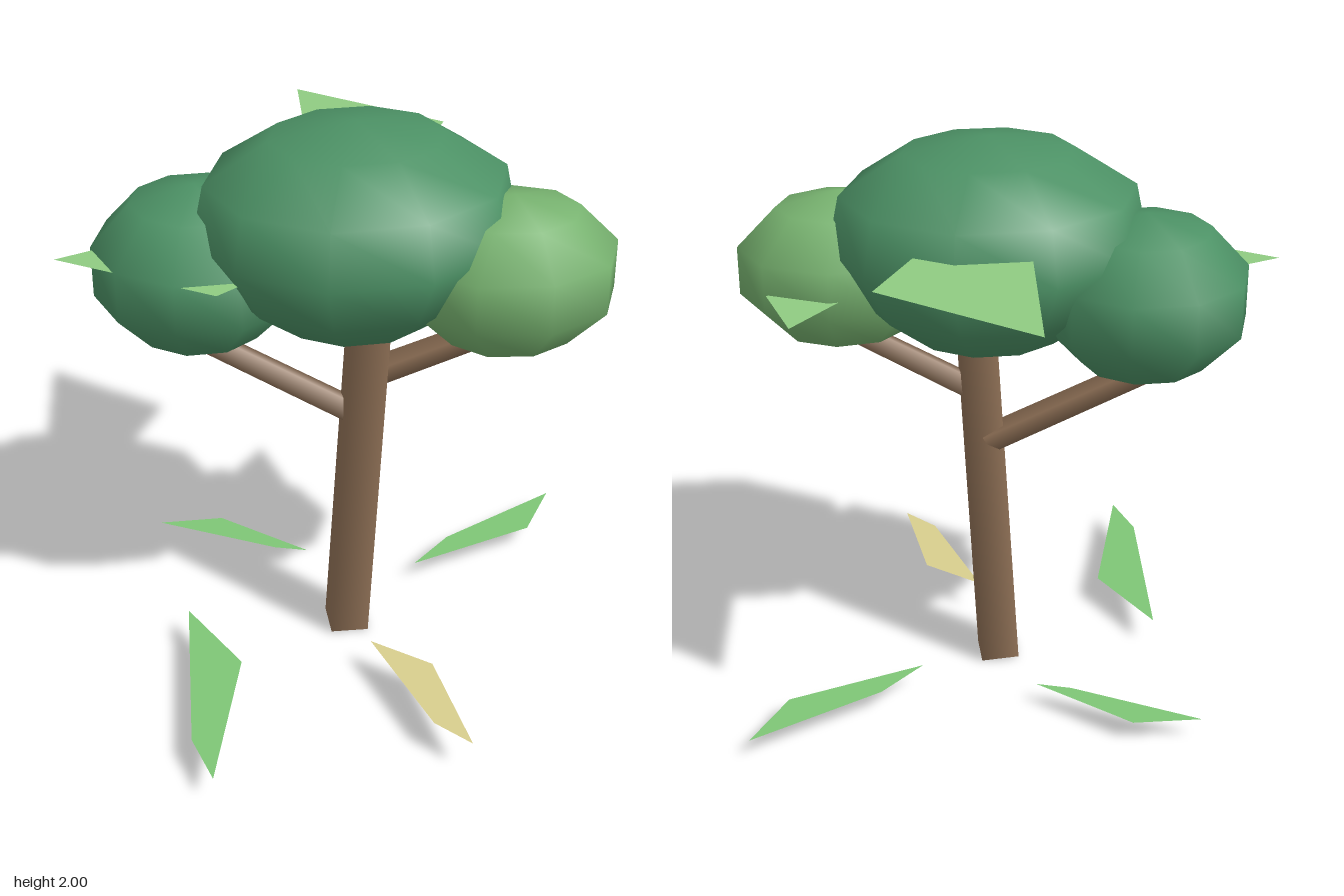
import * as THREE from 'three';

const mat = (color, side = THREE.FrontSide) => new THREE.MeshStandardMaterial({ color, side, roughness: 0.9 });
const bark = mat(0x8c6e54);
const darkGreen = mat(0x4c9165);
const lightGreen = mat(0x77b26f);
const leafGreen = mat(0x7ec676, THREE.DoubleSide);
const leafLight = mat(0x8fcb82, THREE.DoubleSide);
const leafTan = mat(0xd8ce8d, THREE.DoubleSide);

// Square, slightly tapered limb between two points, r measured to the flat side
function limb(name, from, to, r0, r1) {
  const a = new THREE.Vector3(...from), b = new THREE.Vector3(...to);
  const dir = b.clone().sub(a);
  const g = new THREE.CylinderGeometry(r1 * Math.SQRT2, r0 * Math.SQRT2, dir.length(), 4).rotateY(Math.PI / 4);
  const mesh = new THREE.Mesh(g, bark);
  mesh.position.copy(a).add(b).multiplyScalar(0.5);
  mesh.quaternion.setFromUnitVectors(new THREE.Vector3(0, 1, 0), dir.normalize());
  mesh.name = name;
  return mesh;
}

// Low-poly smooth ellipsoid; the lower half may shrink
function foliage(name, material, center, radii, segs, rings, shrink = 0) {
  const g = new THREE.SphereGeometry(1, segs, rings).rotateY(Math.PI);
  const p = g.attributes.position, n = g.attributes.normal, v = new THREE.Vector3();
  for (let i = 0; i < p.count; i++) {
    const y = p.getY(i);
    const k = 1 - shrink * THREE.MathUtils.clamp(0.5 - y, 0, 1);
    p.setXYZ(i, p.getX(i) * k * radii[0], y * radii[1], p.getZ(i) * k * radii[2]);
    // Ellipsoid normal, kept smooth across the seam
    v.set(p.getX(i) / radii[0] ** 2, p.getY(i) / radii[1] ** 2, p.getZ(i) / radii[2] ** 2).normalize();
    n.setXYZ(i, v.x, v.y, v.z);
  }
  const mesh = new THREE.Mesh(g, material);
  mesh.position.set(...center);
  mesh.name = name;
  return mesh;
}

// Flat horizontal leaf from [x, z] corners
function leaf(name, material, y, corners) {
  const shape = new THREE.Shape(corners.map(([x, z]) => new THREE.Vector2(x, -z)));
  const mesh = new THREE.Mesh(new THREE.ShapeGeometry(shape).rotateX(-Math.PI / 2), material);
  mesh.position.y = y;
  mesh.name = name;
  return mesh;
}

export function createModel() {
  const tree = new THREE.Group();
  tree.name = 'tree';

  // Trunk and branches
  tree.add(
    limb('trunk', [0.013, 0.005, 0.058], [0.086, 1.34, 0.083], 0.068, 0.064),
    limb('rightBranch', [0.05, 0.9, 0.045], [-0.62, 1.27, -0.1], 0.036, 0.033),
    limb('leftBranch', [0.08, 1.075, 0.085], [0.52, 1.29, 0.2], 0.036, 0.033),
  );

  // Canopy
  tree.add(
    foliage('mainCanopy', darkGreen, [0.04, 1.625, 0.07], [0.575, 0.375, 0.49], 10, 6, 0.13),
    foliage('rightCanopy', darkGreen, [-0.47, 1.47, -0.07], [0.368, 0.29, 0.36], 10, 5),
    foliage('leftCanopy', lightGreen, [0.525, 1.505, 0.23], [0.373, 0.275, 0.31], 9, 5),
  );

  // Leaves among the canopy
  tree.add(
    leaf('backCanopyLeaf', leafLight, 1.72, [[0, -0.925], [0.465, -0.53], [0.32, -0.27], [-0.05, -0.34]]),
    leaf('leftCanopyLeaf', leafLight, 1.49, [[0.72, -0.25], [0.79, 0.03], [0.62, 0.1], [0.54, -0.04]]),
    leaf('rightCanopyLeaf', leafLight, 1.555, [[-0.94, -0.01], [-0.75, -0.08], [-0.36, 0.27], [-0.45, 0.33]]),
  );

  // Leaves lying low around the trunk
  tree.add(
    leaf('frontRightFallenLeaf', leafGreen, 0.1, [[-0.58, 0.915], [-0.63, 0.72], [-0.57, 0.03], [-0.415, 0.35]]),
    leaf('leftFallenLeaf', leafGreen, 0.085, [[0.935, -0.5], [0.795, -0.28], [0.31, -0.13], [0.47, -0.275]]),
    leaf('backRightFallenLeaf', leafGreen, 0.08, [[-0.62, -0.57], [-0.38, -0.56], [-0.08, -0.29], [-0.2, -0.33]]),
    leaf('frontFallenLeaf', leafTan, 0.12, [[0.285, 0.92], [0.18, 0.8], [0.05, 0.34], [0.24, 0.5]]),
  );
  return tree;
}
